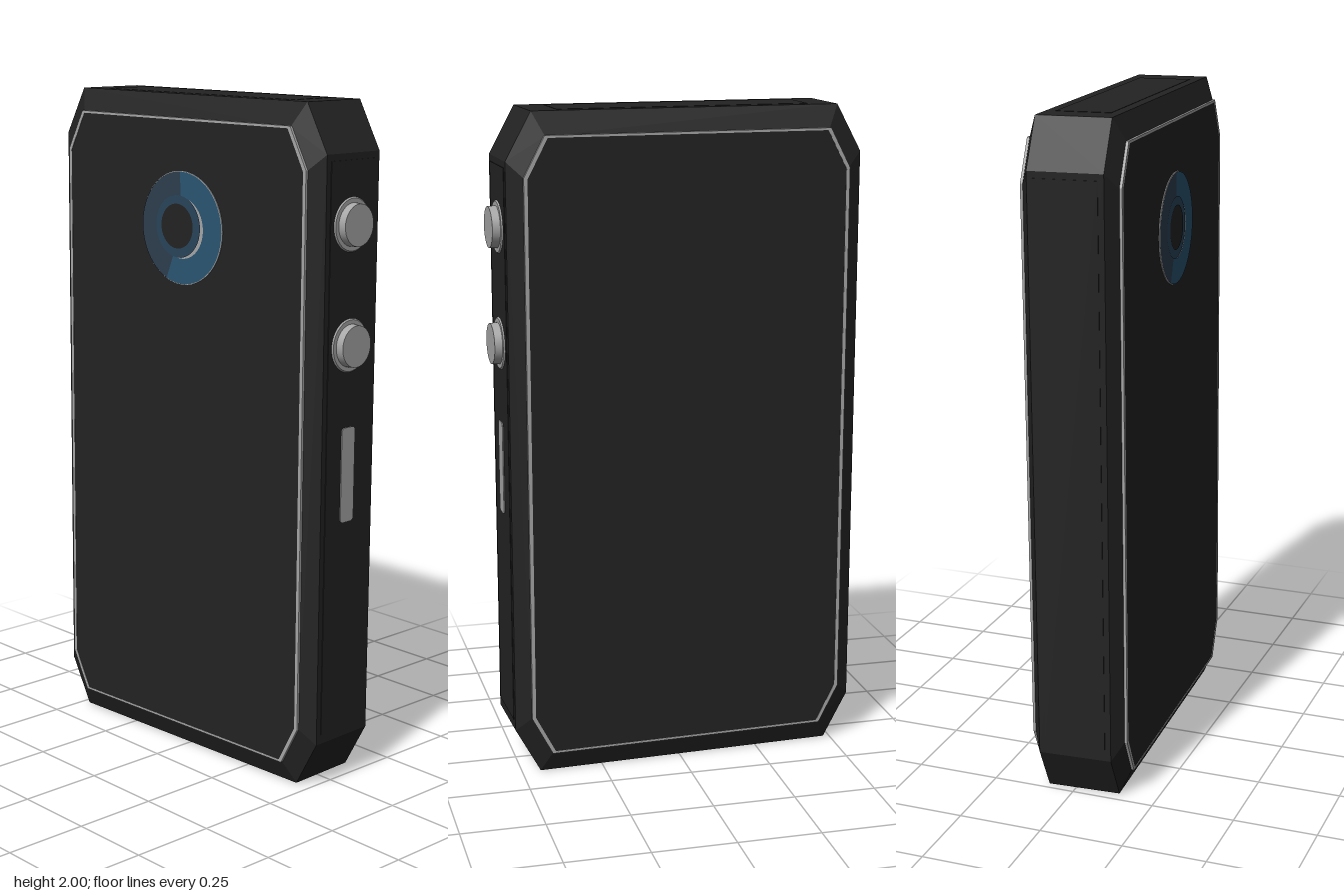
import * as THREE from 'three';
import { ConvexGeometry } from 'three/addons/geometries/ConvexGeometry.js';

const paint = (name, color) => {
  const m = new THREE.MeshStandardMaterial({ color });
  m.name = name;
  return m;
};

export function createModel() {
  const black = paint('black casing', 0x232323);
  const silver = paint('silver metal', 0xa6a6a6);
  const blue = paint('blue', 0x2a5571);
  const midBlue = paint('middle blue', 0x29445a);
  const navy = paint('navy', 0x2d3e4e);

  const model = new THREE.Group();
  model.name = 'handheldDevice';
  const device = new THREE.Group();
  device.name = 'device';
  // the device stands slightly turned and leaning back
  device.position.set(-0.013, 1, -0.002);
  device.rotation.set(-0.0085, 0.044, 0);
  model.add(device);

  const add = (name, geometry, material, x = 0, y = 0, z = 0, parent = device) => {
    const mesh = new THREE.Mesh(geometry, material);
    mesh.name = name;
    mesh.position.set(x, y, z);
    parent.add(mesh);
    return mesh;
  };

  // rectangle with cut corners
  const octagon = (w, h, cx, cy) => [
    [w, h - cy], [w - cx, h], [cx - w, h], [-w, h - cy],
    [-w, cy - h], [cx - w, -h], [w - cx, -h], [w, cy - h],
  ].map(([x, y]) => new THREE.Vector2(x, y));
  const extrude = (shape, depth) =>
    new THREE.ExtrudeGeometry(shape, { depth, bevelEnabled: false });

  // bevelled casing
  const outer = octagon(0.538, 0.999, 0.076, 0.14);
  const inner = octagon(0.49, 0.93, 0.062, 0.118);
  const hull = [];
  for (const s of [-1, 1]) {
    outer.forEach(p => hull.push(new THREE.Vector3(p.x, p.y, s * 0.11)));
    inner.forEach(p => hull.push(new THREE.Vector3(p.x, p.y, s * 0.14)));
  }
  add('casing', new ConvexGeometry(hull), black);

  // metal trim and dark plate on the front and back
  for (const [side, turn] of [['front', 0], ['back', Math.PI]]) {
    const face = new THREE.Group();
    face.name = side + 'Face';
    face.rotation.y = turn;
    device.add(face);
    const trim = new THREE.Shape(octagon(0.493, 0.933, 0.062, 0.118));
    const opening = octagon(0.482, 0.926, 0.06, 0.115);
    trim.holes.push(new THREE.Path(opening));
    add(side + 'Trim', extrude(trim, 0.01), silver, 0, 0, 0.136, face);
    add(side + 'Plate', extrude(new THREE.Shape(opening), 0.009), black, 0, 0, 0.136, face);
  }

  // round emblem dial: two-tone ring, inner ring and dark hub
  const dial = new THREE.Group();
  dial.name = 'dial';
  dial.position.set(0.007, 0.613, 0.145);
  device.add(dial);
  const sector = (r0, r1, from, to) => new THREE.RingGeometry(r0, r1, 40, 1,
    THREE.MathUtils.degToRad(from), THREE.MathUtils.degToRad(to - from));
  const rim = new THREE.CylinderGeometry(0.167, 0.167, 0.003, 48).rotateX(Math.PI / 2);
  add('dialRim', rim, silver, 0, 0, 0.001, dial);
  add('dialBlueSector', sector(0.09, 0.165, -112, 92), blue, 0, 0, 0.0045, dial);
  add('dialNavySector', sector(0.09, 0.165, 92, 248), navy, 0, 0, 0.0045, dial);
  add('dialInnerRing', sector(0.06, 0.092, 0, 360), midBlue, -0.012, 0.004, 0.0065, dial);
  add('dialHub', new THREE.CircleGeometry(0.066, 40), black, -0.014, 0.005, 0.0085, dial);

  // shallow panels on the sides and ends
  for (const s of [-1, 1]) {
    add(s > 0 ? 'leftPanel' : 'rightPanel',
      new THREE.BoxGeometry(0.004, 1.67, 0.185), black, s * 0.538, 0.005, 0);
    add(s > 0 ? 'topPanel' : 'bottomPanel',
      new THREE.BoxGeometry(0.76, 0.002, 0.16), black, 0, s * 0.999, 0);
  }

  // two round push buttons on the side
  for (const y of [0.66, 0.317]) {
    const button = new THREE.Group();
    button.name = 'sideButton';
    button.position.set(0.539, y, 0.002);
    button.rotation.z = -Math.PI / 2;
    device.add(button);
    add('buttonCollar', new THREE.CylinderGeometry(0.074, 0.081, 0.008, 40), silver, 0, 0.001, 0, button);
    add('buttonCap', new THREE.CylinderGeometry(0.06, 0.062, 0.028, 40), silver, 0, 0.014, 0, button);
  }

  // long key below the buttons, with small rounded ends
  const key = new THREE.Shape();
  const kw = 0.028, kh = 0.14, r = 0.014;
  key.moveTo(-kw, r - kh);
  key.lineTo(-kw, kh - r);
  key.quadraticCurveTo(-kw, kh, r - kw, kh);
  key.lineTo(kw - r, kh);
  key.quadraticCurveTo(kw, kh, kw, kh - r);
  key.lineTo(kw, r - kh);
  key.quadraticCurveTo(kw, -kh, kw - r, -kh);
  key.lineTo(r - kw, -kh);
  key.quadraticCurveTo(-kw, -kh, -kw, r - kh);
  add('sideKey', extrude(key, 0.007).rotateY(Math.PI / 2), silver, 0.536, -0.06, 0.002);

  // small indicator under the base
  add('baseIndicator', new THREE.CylinderGeometry(0.03, 0.03, 0.003, 24), blue, 0, -1, 0);

  return model;
}
